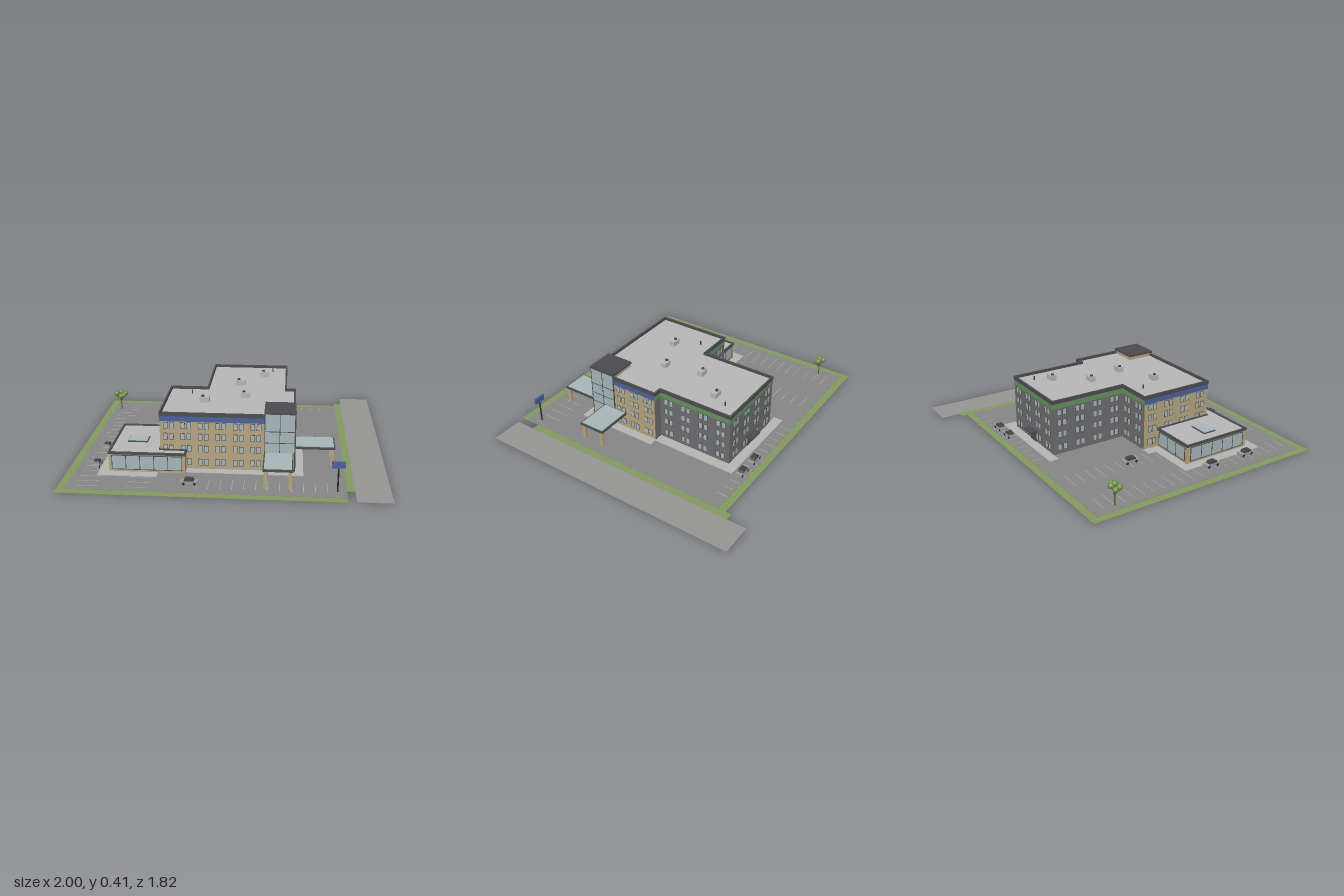
import * as THREE from 'three';

const C = { wall: 0xb3a37e, stone: 0x6d6d6f, roof: 0xb6b6b6, trim: 0x4c4c50, blue: 0x4b609c, green: 0x67905f,
  glass: 0xa6b5b7, grass: 0x82985f, asphalt: 0x858585, walk: 0xb4b4b2, line: 0xa8a8a8, road: 0x949492, leaf: 0x6f8f4e, dark: 0x444448 };
const mats = {};
const mat = (c) => (mats[c] ??= new THREE.MeshStandardMaterial({ color: c }));

function mesh(parent, name, geo, color) {
  const m = new THREE.Mesh(geo, mat(color));
  m.name = name;
  parent.add(m);
  return m;
}
// Box given by its limits on each axis
function box(parent, name, x0, x1, y0, y1, z0, z1, color) {
  const m = mesh(parent, name, new THREE.BoxGeometry(x1 - x0, y1 - y0, z1 - z0), color);
  m.position.set((x0 + x1) / 2, (y0 + y1) / 2, (z0 + z1) / 2);
  return m;
}
function group(parent, name, x = 0, y = 0, z = 0, turn = 0) {
  const g = new THREE.Group();
  g.name = name;
  g.position.set(x, y, z);
  g.rotation.y = turn;
  parent.add(g);
  return g;
}
// Moves each corner of a right-angled outline by d along both of its edge normals
function offset(pts, d) {
  const n = pts.length;
  const normal = (a, b) => [Math.sign(b[1] - a[1]), -Math.sign(b[0] - a[0])];
  return pts.map((p, i) => {
    const u = normal(pts[(i + n - 1) % n], p), v = normal(p, pts[(i + 1) % n]);
    return [p[0] + d * (u[0] + v[0]), p[1] + d * (u[1] + v[1])];
  });
}
const vec = (pts) => pts.map((p) => new THREE.Vector2(p[0], p[1]));
// Hollow rim around a flat roof; outline runs anticlockwise in (x, z)
function parapet(parent, outline, y0, y1) {
  const shape = new THREE.Shape(vec(offset(outline, 0.004)));
  shape.holes.push(new THREE.Path(vec(offset(outline, -0.008))));
  const m = mesh(parent, 'parapet', new THREE.ExtrudeGeometry(shape, { depth: y1 - y0, bevelEnabled: false }), C.trim);
  m.rotation.x = Math.PI / 2;
  m.position.y = y1;
}
// Wall face: local x runs along the wall, local z points outwards
function facade(parent, name, x, z, turn, width, pairs, band) {
  const g = group(parent, name, x, 0, z, turn);
  box(g, 'colourBand', -width / 2, width / 2, 0.325, 0.362, -0.01, 0.003, band);
  for (const y of [0.055, 0.145, 0.225, 0.298]) {
    for (let i = 0; i < pairs; i++) {
      const c = ((i + 0.5) / pairs - 0.5) * width;
      for (const wx of [c - 0.019, c + 0.019]) {
        box(g, 'windowFrame', wx - 0.014, wx + 0.014, y - 0.022, y + 0.022, -0.01, 0.002, C.trim);
        box(g, 'windowPane', wx - 0.011, wx + 0.011, y - 0.019, y + 0.019, -0.01, 0.003, C.glass);
      }
    }
  }
}
// Glass wall with upright and level bars
function glazing(parent, name, x, z, turn, width, y0, y1, bays, levels) {
  const g = group(parent, name, x, 0, z, turn);
  box(g, 'pane', -width / 2, width / 2, y0, y1, -0.01, 0.002, C.glass);
  for (let i = 0; i <= bays; i++) {
    const bx = (i / bays - 0.5) * width;
    box(g, 'mullion', bx - 0.002, bx + 0.002, y0, y1, -0.01, 0.004, C.trim);
  }
  for (const y of [y0, ...levels, y1]) box(g, 'transom', -width / 2, width / 2, y - 0.002, y + 0.002, -0.01, 0.004, C.trim);
}

function car(parent, x, z, turn) {
  const g = group(parent, 'car', x, 0.006, z, turn);
  box(g, 'carBody', -0.054, 0.054, 0.008, 0.025, -0.022, 0.022, 0x9a9a9a);
  const s = new THREE.Shape(vec([[-0.034, 0.025], [0.03, 0.025], [0.02, 0.039], [-0.026, 0.039]]));
  mesh(g, 'carCabin', new THREE.ExtrudeGeometry(s, { depth: 0.038, bevelEnabled: false }), C.dark).position.z = -0.019;
  for (const wx of [-0.034, 0.034]) for (const wz of [-0.02, 0.02]) {
    const w = mesh(g, 'wheel', new THREE.CylinderGeometry(0.009, 0.009, 0.006, 12), 0x2a2a2a);
    w.rotation.x = Math.PI / 2;
    w.position.set(wx, 0.009, wz);
  }
}
function rod(parent, name, a, b, r, color) {
  const p = new THREE.Vector3(...a), q = new THREE.Vector3(...b);
  return mesh(parent, name, new THREE.TubeGeometry(new THREE.LineCurve3(p, q), 1, r, 8), color);
}

function buildGround(root) {
  const g = group(root, 'grounds');
  box(g, 'lawn', -1, 0.735, 0, 0.004, -0.74, 0.91, C.grass);
  box(g, 'parkingLot', -0.95, 0.736, 0.001, 0.006, -0.69, 0.86, C.asphalt);
  box(g, 'verge', 0.735, 0.785, 0, 0.005, -0.78, 0.765, C.grass);
  box(g, 'road', 0.785, 1, 0, 0.004, -0.91, 0.9, C.road);
  for (const [x0, x1, z0, z1] of [[-0.8, -0.425, 0.05, 0.66], [-0.425, 0.48, 0.5, 0.58], [0.4, 0.48, 0, 0.5],
    [0.34, 0.43, -0.53, 0], [-0.235, 0.43, -0.595, -0.53], [-0.485, -0.4, -0.005, 0.05]])
    box(g, 'sidewalk', x0, x1, 0.002, 0.01, z0, z1, C.walk);
  for (let i = 0; i < 21; i++) {
    const z = -0.61 + i * 0.071;
    if (z > 0.84) break;
    box(g, 'parkingLine', -0.9, -0.765, 0.004, 0.007, z - 0.002, z + 0.002, C.line);
    if (z < 0.04 || z > 0.66) box(g, 'parkingLine', -0.585, -0.45, 0.004, 0.007, z - 0.002, z + 0.002, C.line);
  }
  for (let i = 0; i < 12; i++) {
    const x = -0.165 + i * 0.0715;
    box(g, 'parkingLine', x - 0.002, x + 0.002, 0.004, 0.007, -0.685, -0.61, C.line);
    box(g, 'parkingLine', x - 0.002, x + 0.002, 0.004, 0.007, 0.67, 0.805, C.line);
  }
}

function buildMain(root) {
  const H = Math.PI / 2, g = group(root, 'mainBuilding');
  box(g, 'frontBlock', -0.42, 0.42, 0, 0.362, 0.002, 0.52, C.wall);
  box(g, 'rearBlock', -0.17, 0.36, 0, 0.362, -0.53, 0.002, C.stone);
  for (const [x0, x1] of [[-0.42, -0.17], [0.36, 0.42]]) box(g, 'rearFacing', x0, x1, 0, 0.362, 0, 0.004, C.stone);
  box(g, 'frontRoof', -0.416, 0.416, 0.355, 0.366, 0, 0.516, C.roof);
  box(g, 'rearRoof', -0.166, 0.356, 0.355, 0.366, -0.526, 0.002, C.roof);
  parapet(g, [[-0.42, 0], [-0.17, 0], [-0.17, -0.53], [0.36, -0.53], [0.36, 0], [0.42, 0], [0.42, 0.52], [-0.42, 0.52]], 0.36, 0.384);
  facade(g, 'frontFacade', -0.0925, 0.52, 0, 0.655, 6, C.blue);
  facade(g, 'leftFacade', 0.42, 0.168, H, 0.335, 3, C.blue);
  facade(g, 'rightFacade', -0.42, 0.26, -H, 0.52, 4, C.blue);
  facade(g, 'innerFacade', -0.295, 0, Math.PI, 0.25, 2, C.green);
  facade(g, 'returnFacade', 0.39, 0, Math.PI, 0.06, 0, C.green);
  facade(g, 'rearLeftFacade', 0.36, -0.265, H, 0.53, 4, C.green);
  facade(g, 'rearRightFacade', -0.17, -0.265, -H, 0.53, 4, C.green);
  facade(g, 'backFacade', 0.095, -0.53, Math.PI, 0.53, 4, C.green);
  box(g, 'backDoor', 0.065, 0.135, 0.008, 0.078, -0.535, -0.525, C.trim);
  box(g, 'backDoorCanopy', 0.05, 0.15, 0.083, 0.092, -0.58, -0.53, C.trim);

  // Rooftop equipment
  for (const [x, z] of [[0.205, -0.325], [0.045, -0.115], [0.095, 0.145], [-0.165, 0.255]]) {
    box(g, 'roofUnit', x - 0.031, x + 0.031, 0.36, 0.402, z - 0.019, z + 0.019, C.roof);
    mesh(g, 'roofFan', new THREE.CylinderGeometry(0.011, 0.011, 0.008, 16), C.dark).position.set(x - 0.012, 0.405, z);
  }
  for (const [x, z] of [[0.26, -0.43], [-0.265, 0.1]])
    mesh(g, 'roofVent', new THREE.CylinderGeometry(0.004, 0.004, 0.03, 10), C.dark).position.set(x, 0.379, z);
}

function buildTower(root) {
  const H = Math.PI / 2, g = group(root, 'entranceTower');
  box(g, 'towerCore', 0.235, 0.423, 0, 0.39, 0.335, 0.523, C.wall);
  glazing(g, 'towerGlassFront', 0.329, 0.524, 0, 0.186, 0.01, 0.39, 2, [0.13, 0.2, 0.275]);
  glazing(g, 'towerGlassSide', 0.424, 0.429, H, 0.186, 0.01, 0.39, 2, [0.13, 0.2, 0.275]);
  box(g, 'towerRoof', 0.231, 0.428, 0.388, 0.402, 0.331, 0.528, C.trim);
  for (const [x, z, turn] of [[0.325, 0.525, 0], [0.425, 0.429, H]]) {
    const d = group(g, 'entrance', x, 0, z, turn);
    box(d, 'doorFrame', -0.036, 0.036, 0.008, 0.084, -0.01, 0.006, C.trim);
    for (const s of [-1, 1]) box(d, 'doorLeaf', s * 0.016 - 0.015, s * 0.016 + 0.015, 0.008, 0.08, -0.01, 0.008, C.glass);
  }
  // Entrance canopies, each with two outer posts
  for (const [x0, x1, z0, z1, posts] of [[0.232, 0.416, 0.525, 0.78, [[0.25, 0.762], [0.398, 0.762]]],
    [0.424, 0.68, 0.237, 0.42, [[0.662, 0.255], [0.662, 0.402]]]]) {
    const c = group(g, 'canopy');
    box(c, 'canopyFrame', x0, x1, 0.12, 0.134, z0, z1, C.trim);
    box(c, 'canopyGlass', x0 + 0.008, x1 - 0.008, 0.126, 0.137, z0 + 0.008, z1 - 0.008, C.glass);
    for (const [x, z] of posts) box(c, 'canopyPost', x - 0.011, x + 0.011, 0.005, 0.121, z - 0.011, z + 0.011, C.wall);
  }
}

function buildAnnex(root) {
  const H = Math.PI / 2, g = group(root, 'annex');
  box(g, 'annexSide', -0.735, -0.415, 0, 0.127, 0.11, 0.595, C.wall);
  box(g, 'annexFront', -0.42, -0.255, 0, 0.127, 0.515, 0.595, C.wall);
  box(g, 'annexRoof', -0.733, -0.415, 0.122, 0.131, 0.112, 0.593, C.roof);
  box(g, 'annexFrontRoof', -0.42, -0.257, 0.122, 0.131, 0.515, 0.593, C.roof);
  parapet(g, [[-0.735, 0.11], [-0.42, 0.11], [-0.42, 0.52], [-0.255, 0.52], [-0.255, 0.595], [-0.735, 0.595]], 0.125, 0.14);
  glazing(g, 'annexGlassFront', -0.495, 0.595, 0, 0.44, 0.025, 0.118, 5, []);
  glazing(g, 'annexGlassSide', -0.735, 0.3525, -H, 0.43, 0.025, 0.118, 5, []);
  glazing(g, 'annexGlassBack', -0.5775, 0.11, Math.PI, 0.27, 0.025, 0.118, 3, []);
  box(g, 'skylightCurb', -0.65, -0.52, 0.128, 0.138, 0.315, 0.407, C.trim);
  box(g, 'skylight', -0.646, -0.524, 0.13, 0.142, 0.319, 0.403, C.glass);
}

export function createModel() {
  const root = new THREE.Group();
  root.name = 'officeSite';
  buildGround(root);
  buildMain(root);
  buildTower(root);
  buildAnnex(root);

  for (const [x, z, turn] of [[0.24, -0.645, 0], [0.385, -0.645, 0], [-0.515, -0.17, 1], [-0.83, 0.23, 1], [-0.83, 0.515, 1], [-0.21, 0.74, 0]])
    car(root, x, z, turn * Math.PI / 2);

  // Tree with a leafy clump at each branch end
  const tree = group(root, 'tree', -0.9, 0, -0.54);
  rod(tree, 'trunk', [0, 0, 0], [0, 0.09, 0], 0.004, 0x6b5a45);
  for (const [x, y, z] of [[-0.03, 0.135, 0.015], [0.032, 0.135, 0], [0, 0.14, -0.026], [0, 0.115, 0.016],
    [0.02, 0.125, 0.022], [-0.022, 0.12, -0.008], [0.004, 0.145, 0.003]]) {
    rod(tree, 'branch', [0, 0.07, 0], [x, y, z], 0.002, 0x6b5a45);
    mesh(tree, 'foliage', new THREE.SphereGeometry(0.019, 16, 12), C.leaf).position.set(x, y, z);
  }

  // Roadside sign
  const sign = group(root, 'sign', 0.68, 0, 0.78);
  rod(sign, 'signPole', [0, 0, 0], [0, 0.2, 0], 0.005, 0x2c2c30);
  box(sign, 'signPanel', -0.04, 0.04, 0.16, 0.2, -0.006, 0.006, C.blue);
  return root;
}
